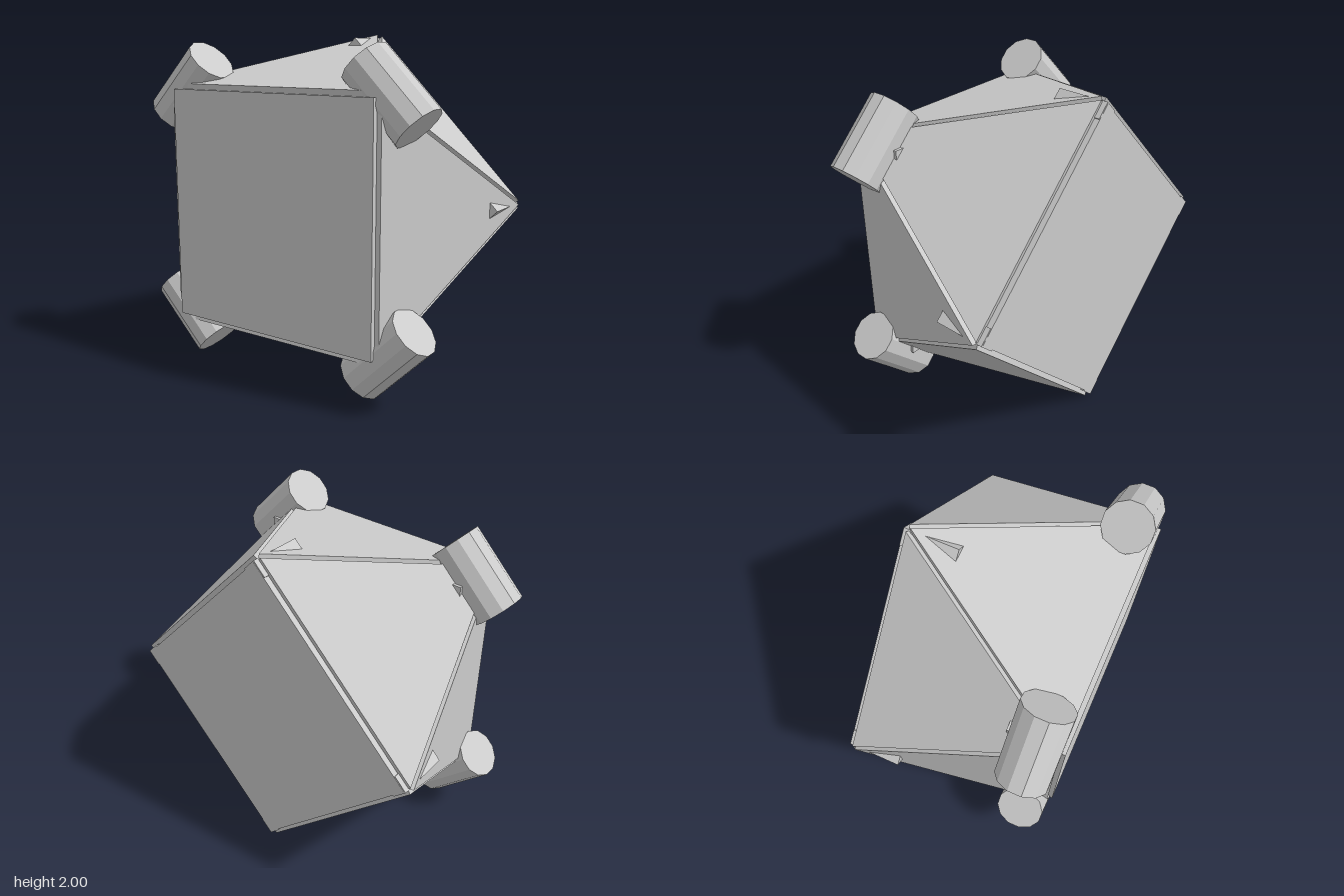
import * as THREE from 'three';
import { ConvexGeometry } from 'three/addons/geometries/ConvexGeometry.js';

const HALF = 0.685;              // half side of the square faces
const RADIUS = HALF * Math.SQRT2; // corner radius of both squares
const DEPTH = 0.563;             // half distance between the squares
const THICK = 0.033;             // plate thickness

export function createModel() {
  const model = new THREE.Group();
  const body = new THREE.Group();
  body.name = 'body';
  body.position.y = 1;
  model.add(body);

  const material = new THREE.MeshStandardMaterial({ color: 0xcccccc, flatShading: true });

  function addMesh(name, geometry, parent = body) {
    const mesh = new THREE.Mesh(geometry, material);
    mesh.name = name;
    parent.add(mesh);
    return mesh;
  }

  // Flat plate standing outward from a face, with square-cut edges
  function addPlate(name, corners) {
    const normal = new THREE.Vector3();
    new THREE.Triangle(corners[0], corners[1], corners[2]).getNormal(normal);
    if (normal.dot(corners[0]) < 0) normal.negate();
    const outer = corners.map((c) => c.clone().addScaledVector(normal, THICK));
    addMesh(name, new ConvexGeometry([...corners, ...outer]));
  }

  // Corners of the two squares, the back one turned by 45 degrees
  const ring = (turn, z) => [0, 1, 2, 3].map((i) => {
    const a = turn + i * Math.PI / 2;
    return new THREE.Vector3(RADIUS * Math.cos(a), RADIUS * Math.sin(a), z);
  });
  const front = ring(Math.PI / 4, DEPTH);
  const back = ring(0, -DEPTH);

  addPlate('frontPlate', front);
  addPlate('backPlate', back);
  for (let i = 0; i < 4; i++) {
    const next = (i + 1) % 4;
    addPlate('frontTrianglePlate', [front[i], front[next], back[next]]);
    addPlate('backTrianglePlate', [back[i], back[next], front[i]]);
  }

  // Square peg along z with one ridge pointing outward (+x before turning)
  function addPeg(parent, ridgeRadius, z) {
    const side = 0.1;
    const peg = addMesh('cornerPeg', new THREE.BoxGeometry(side, side, 0.31), parent);
    peg.rotation.z = Math.PI / 4;
    peg.position.set(ridgeRadius - side / Math.SQRT2, 0, z);
  }

  for (let i = 0; i < 4; i++) {
    // Front corner: twelve-sided roller lying across the diagonal, with its peg
    const frontCorner = new THREE.Group();
    frontCorner.name = 'frontCorner';
    frontCorner.rotation.z = Math.PI / 4 + i * Math.PI / 2;
    body.add(frontCorner);
    const roller = addMesh('cornerRoller',
      new THREE.CylinderGeometry(0.147, 0.147, 0.455, 12, 1, false, Math.PI / 12), frontCorner);
    roller.position.set(0.976, 0, 0.435);
    addPeg(frontCorner, 0.968, 0.43);

    // Back corner: peg showing through the plate as a small wedge
    const backCorner = new THREE.Group();
    backCorner.name = 'backCorner';
    backCorner.rotation.z = i * Math.PI / 2;
    body.add(backCorner);
    addPeg(backCorner, 0.98, -0.44);
  }

  return model;
}
